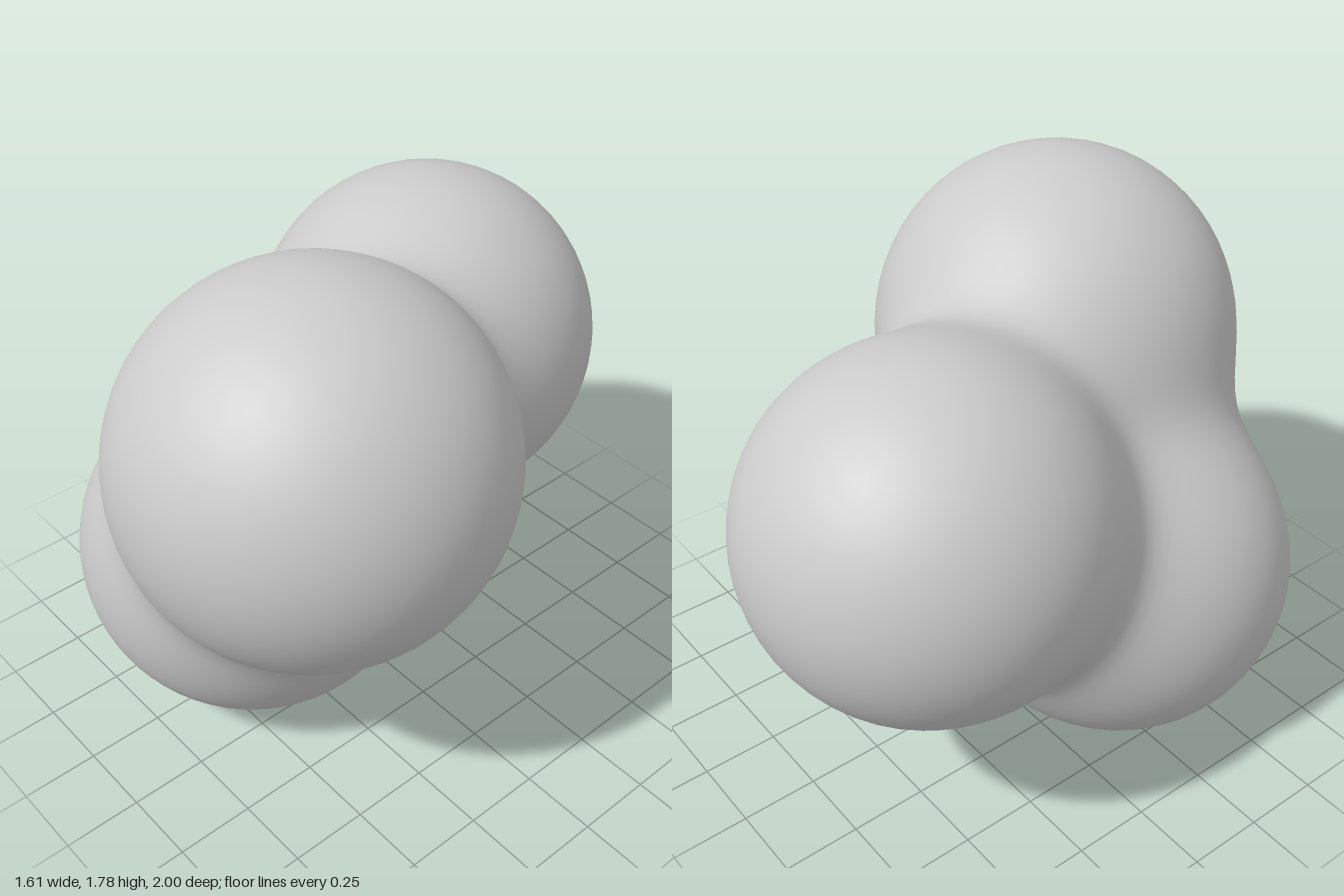
import * as THREE from 'three';
import { mergeVertices } from 'three/addons/utils/BufferGeometryUtils.js';

// Three balls that melt into one another: centre and radius
const BALLS = [
  { c: new THREE.Vector3(0.225, 1.202, 0.422), r: 0.58 },  // upper front
  { c: new THREE.Vector3(-0.245, 0.56, 0.313), r: 0.557 }, // lower front
  { c: new THREE.Vector3(-0.253, 1.045, -0.442), r: 0.555 }, // back
];
const BLEND = 0.105;
const CORE = new THREE.Vector3(-0.13, 0.93, 0.04);

// Smooth union of the balls, negative inside
function field(p) {
  let sum = 0;
  for (const { c, r } of BALLS) sum += Math.exp((r - p.distanceTo(c)) / BLEND);
  return -BLEND * Math.log(sum);
}

// Distance from the core to the skin along a direction
function reach(dir) {
  const p = new THREE.Vector3();
  let lo = 0, hi = 1.6;
  for (let i = 0; i < 24; i++) {
    const mid = (lo + hi) / 2;
    if (field(p.copy(CORE).addScaledVector(dir, mid)) < 0) lo = mid;
    else hi = mid;
  }
  return lo;
}

export function createModel() {
  const group = new THREE.Group();
  group.name = 'blendedBalls';

  // Even sphere pushed out to the blended skin
  let geo = new THREE.IcosahedronGeometry(1, 18);
  geo.deleteAttribute('uv');
  geo.deleteAttribute('normal');
  geo = mergeVertices(geo, 1e-4);
  const pos = geo.attributes.position;
  const dir = new THREE.Vector3();
  for (let i = 0; i < pos.count; i++) {
    dir.fromBufferAttribute(pos, i).normalize();
    dir.multiplyScalar(reach(dir)).add(CORE);
    pos.setXYZ(i, dir.x, dir.y, dir.z);
  }
  geo.computeVertexNormals();

  const skin = new THREE.Mesh(geo, new THREE.MeshStandardMaterial({ color: 0xcccccc }));
  skin.name = 'blobSkin';
  group.add(skin);
  return group;
}
